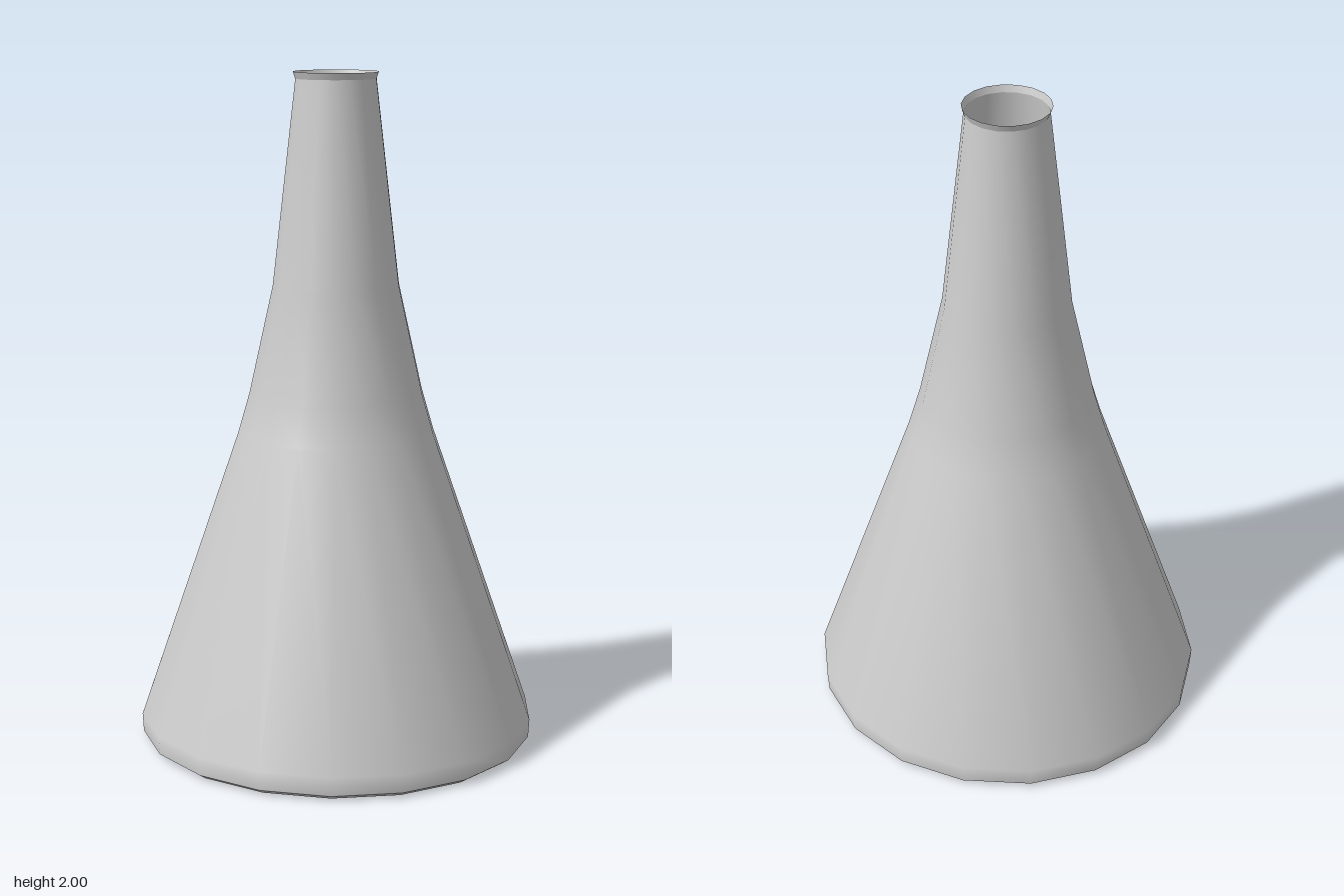
import * as THREE from 'three';

const SIDES = 18;

// Lathe with corners on the x axis; the wide base is slightly narrower in z
function turned(name, profile, material) {
  const points = profile.map(([r, y]) => new THREE.Vector2(r, y));
  const geometry = new THREE.LatheGeometry(points, SIDES, Math.PI / 2);
  const pos = geometry.attributes.position;
  for (let i = 0; i < pos.count; i++) {
    const squash = THREE.MathUtils.lerp(0.978, 1, THREE.MathUtils.clamp(pos.getY(i) / 1.38, 0, 1));
    pos.setZ(i, pos.getZ(i) * squash);
  }
  const mesh = new THREE.Mesh(geometry, material);
  mesh.name = name;
  return mesh;
}

export function createModel() {
  const group = new THREE.Group();
  group.name = 'flaredVessel';
  const material = new THREE.MeshStandardMaterial({ color: 0xcccccc, side: THREE.DoubleSide });

  // Flat closed underside
  group.add(turned('bottom', [[0, 0], [0.575, 0]], material));

  // Small bevel under the foot
  group.add(turned('footBevel', [[0.575, 0], [0.597, 0.015]], material));

  // Foot band, cone, shoulder curve and neck, open at the top
  group.add(turned('body', [
    [0.597, 0.015], [0.6, 0.07], [0.295, 0.94], [0.26, 1.06], [0.188, 1.38], [0.119, 1.98],
  ], material));

  // Thin flared lip
  group.add(turned('lip', [[0.119, 1.98], [0.126, 2]], material));

  return group;
}
